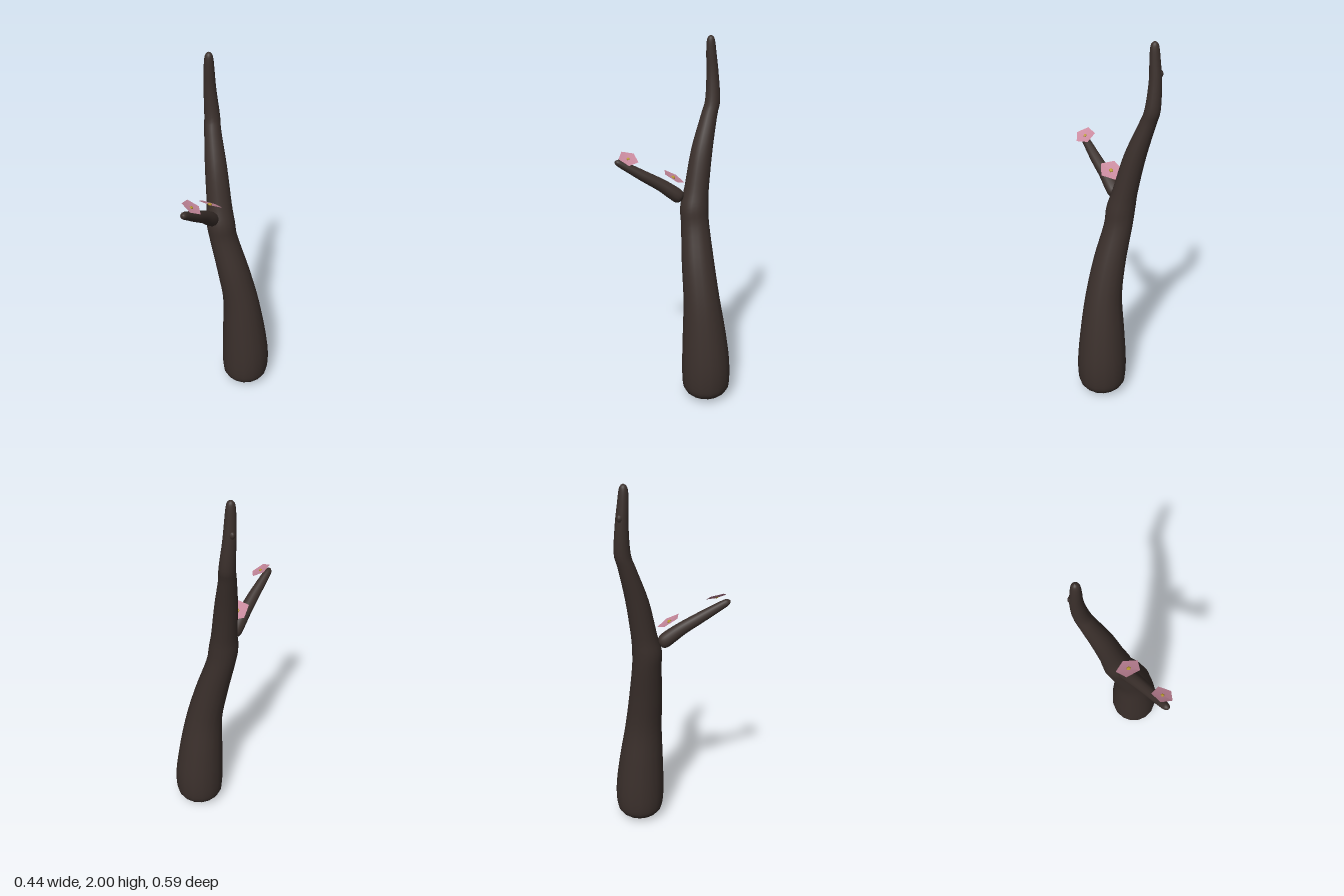
import * as THREE from 'three';

const bark = new THREE.MeshStandardMaterial({ color: 0x3b302c });
const pink = new THREE.MeshStandardMaterial({ color: 0xc98a9e, side: THREE.DoubleSide });
const gold = new THREE.MeshStandardMaterial({ color: 0xc0a030 });

// Smooth limb: rings of radius r around a curve, all square to one axis.
// Each row is [x, y, z, r].
function limb(name, rows, axis, sides, steps) {
  const path = new THREE.CatmullRomCurve3(rows.map(p => new THREE.Vector3(p[0], p[1], p[2])), false, 'catmullrom', 0.5);
  const radius = new THREE.CatmullRomCurve3(rows.map(p => new THREE.Vector3(p[3], 0, 0)), false, 'catmullrom', 0.5);
  const turn = new THREE.Quaternion().setFromUnitVectors(new THREE.Vector3(0, 1, 0), axis.clone().normalize());
  const n = (rows.length - 1) * steps;
  const pos = [], index = [];
  for (let i = 0; i <= n; i++) {
    const c = path.getPoint(i / n);
    const r = Math.max(0, radius.getPoint(i / n).x);
    for (let j = 0; j < sides; j++) {
      const a = (j / sides) * Math.PI * 2;
      const v = new THREE.Vector3(Math.cos(a) * r, 0, Math.sin(a) * r).applyQuaternion(turn).add(c);
      pos.push(v.x, v.y, v.z);
      if (i < n) {
        const k = (j + 1) % sides, p = i * sides, q = p + sides;
        index.push(p + j, q + j, p + k, p + k, q + j, q + k);
      }
    }
  }
  const geo = new THREE.BufferGeometry();
  geo.setAttribute('position', new THREE.Float32BufferAttribute(pos, 3));
  geo.setIndex(index);
  geo.computeVertexNormals();
  const mesh = new THREE.Mesh(geo, bark);
  mesh.name = name;
  return mesh;
}

// Five-cornered blossom, slightly cupped, with a faceted centre
function blossom(name, position, normal, size, startDegrees, centreSize) {
  const g = new THREE.Group();
  g.name = name;
  const geo = new THREE.CircleGeometry(size, 5);
  geo.rotateX(-Math.PI / 2);
  geo.rotateY(-THREE.MathUtils.degToRad(startDegrees));
  geo.attributes.position.setY(0, -0.006);
  geo.computeVertexNormals();
  const petals = new THREE.Mesh(geo, pink);
  petals.name = 'petals';
  const centre = new THREE.Mesh(new THREE.SphereGeometry(centreSize, 5, 4), gold);
  centre.name = 'flowerCentre';
  centre.scale.y = 0.6;
  centre.position.y = -0.003;
  g.add(petals, centre);
  g.position.set(...position);
  g.quaternion.setFromUnitVectors(new THREE.Vector3(0, 1, 0), normal.normalize());
  return g;
}

export function createModel() {
  const model = new THREE.Group();
  model.name = 'floweringTree';

  // Trunk with a rounded foot, leaning back and narrowing to a blunt tip
  model.add(limb('trunk', [
    [0.083, 0, -0.1, 0], [0.083, 0.012, -0.1, 0.075], [0.083, 0.045, -0.1, 0.119],
    [0.083, 0.1, -0.1, 0.134], [0.082, 0.22, -0.098, 0.135], [0.072, 0.4, -0.092, 0.121],
    [0.053, 0.6, -0.085, 0.101], [0.009, 0.8, -0.088, 0.09], [-0.045, 1.0, -0.102, 0.078],
    [-0.061, 1.1, -0.106, 0.078], [-0.07, 1.2, -0.126, 0.068], [-0.09, 1.4, -0.17, 0.059],
    [-0.111, 1.58, -0.228, 0.045], [-0.116, 1.66, -0.253, 0.041], [-0.126, 1.8, -0.257, 0.033],
    [-0.128, 1.9, -0.25, 0.028], [-0.128, 1.965, -0.246, 0.023], [-0.128, 1.99, -0.246, 0.015],
    [-0.128, 2.0, -0.246, 0],
  ], new THREE.Vector3(0, 1, 0), 16, 4));

  // Side branch reaching forward
  model.add(limb('branch', [
    [-0.093, 1.14, -0.052, 0], [-0.096, 1.147, -0.043, 0.026], [-0.1, 1.16, -0.026, 0.038],
    [-0.112, 1.19, 0.012, 0.038], [-0.13, 1.23, 0.065, 0.034], [-0.155, 1.28, 0.145, 0.03],
    [-0.18, 1.325, 0.215, 0.025], [-0.2, 1.36, 0.27, 0.02], [-0.205, 1.37, 0.288, 0.013],
    [-0.207, 1.374, 0.296, 0],
  ], new THREE.Vector3(-0.105, 0.22, 0.325), 12, 4));

  // Small knot near the top of the trunk
  const knot = new THREE.Mesh(new THREE.SphereGeometry(0.015, 10, 8), bark);
  knot.name = 'knot';
  knot.position.set(-0.143, 1.84, -0.273);
  knot.scale.y = 1.3;
  model.add(knot);

  model.add(blossom('lowerBlossom', [-0.105, 1.27, -0.002], new THREE.Vector3(0.3, 1, -0.5), 0.067, 81, 0.013));
  model.add(blossom('outerBlossom', [-0.168, 1.39, 0.236], new THREE.Vector3(0.6, 1, -0.05), 0.057, 92, 0.01));
  return model;
}
